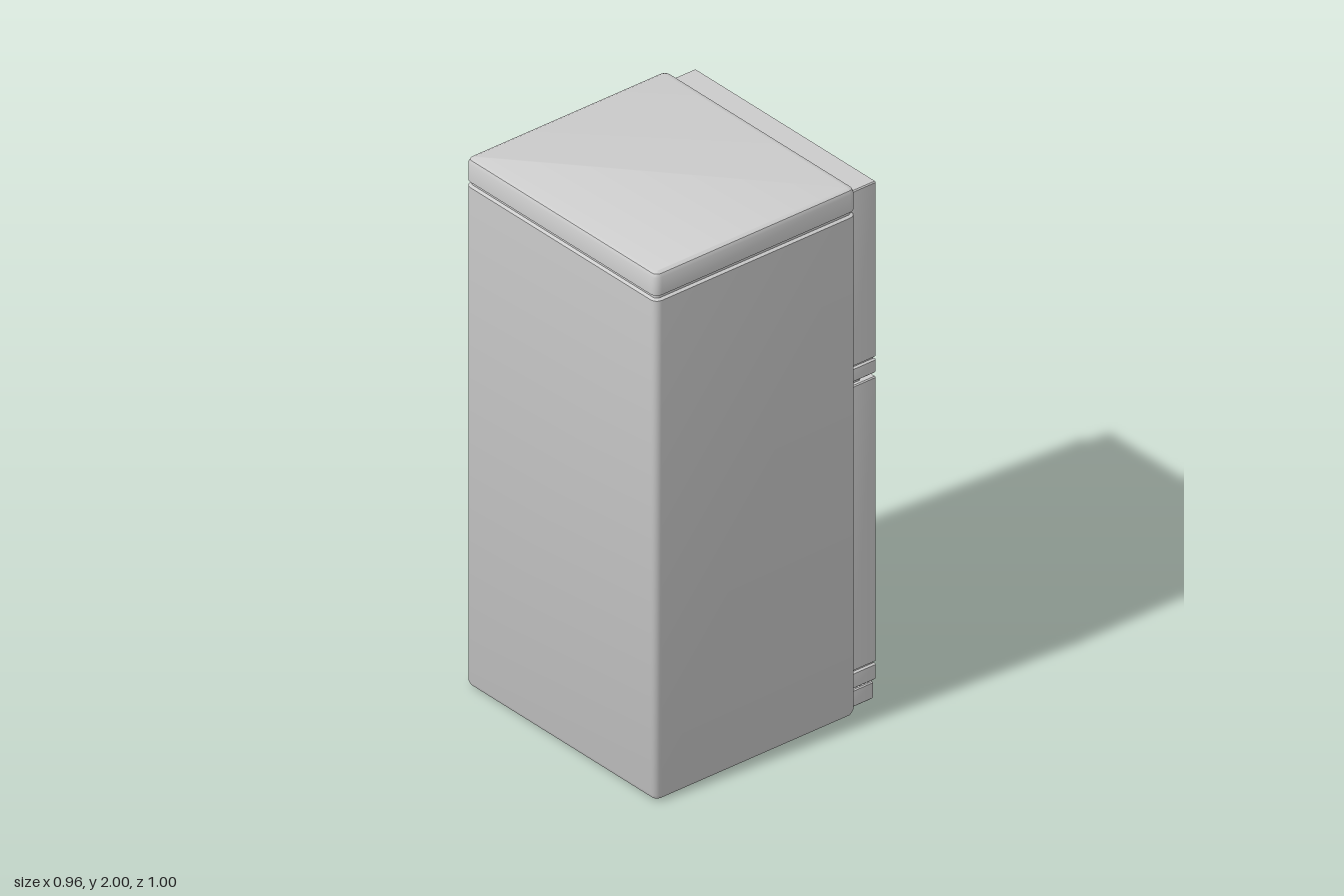
import * as THREE from 'three';
import { toCreasedNormals } from 'three/addons/utils/BufferGeometryUtils.js';

// Rounded-rectangle cross-section, counter-clockwise from above
function section(w, d, r, steps) {
  const pts = [];
  [[1, -1], [-1, -1], [-1, 1], [1, 1]].forEach(([sx, sz], q) => {
    for (let i = 0; i <= steps; i++) {
      const a = (q + i / steps) * Math.PI / 2;
      pts.push([sx * (w / 2 - r) + r * Math.cos(a), sz * (d / 2 - r) - r * Math.sin(a)]);
    }
  });
  return pts;
}

// Stack of cross-sections; each level is [height, inset]
function stacked(w, d, radius, steps, levels) {
  const pos = [], index = [];
  const n = 4 * (steps + 1);
  levels.forEach(([y, inset]) => {
    const r = Math.max(radius - inset, 0.001);
    section(w - 2 * inset, d - 2 * inset, r, steps).forEach(([x, z]) => pos.push(x, y, z));
  });
  for (let k = 0; k < levels.length - 1; k++) {
    for (let i = 0; i < n; i++) {
      const j = (i + 1) % n, a = k * n, b = a + n;
      index.push(a + i, a + j, b + j, a + i, b + j, b + i);
    }
  }
  const top = (levels.length - 1) * n;
  for (let i = 1; i < n - 1; i++) {
    index.push(0, i + 1, i, top, top + i, top + i + 1);
  }
  const g = new THREE.BufferGeometry();
  g.setAttribute('position', new THREE.Float32BufferAttribute(pos, 3));
  g.setIndex(index);
  return toCreasedNormals(g, 0.6);
}

export function createModel() {
  const model = new THREE.Group();
  model.name = 'refrigerator';
  const grey = new THREE.MeshStandardMaterial({ color: 0xcccccc });

  function add(parent, name, geometry, x, y, z) {
    const mesh = new THREE.Mesh(geometry, grey);
    mesh.name = name;
    mesh.position.set(x, y, z);
    parent.add(mesh);
  }

  // Cabinet with softened edges and a groove below the top cap
  add(model, 'cabinet', stacked(0.96, 0.847, 0.026, 4, [
    [0, 0.022], [0.007, 0.007], [0.022, 0],
    [1.895, 0], [1.9, 0.011], [1.911, 0.011], [1.916, 0],
    [1.982, 0], [1.994, 0.006], [2, 0.018],
  ]), 0, 0, 0.0755);

  // Doors on the -z side, each with a trim groove near its lower edge
  function door(name, y0, y1, groove) {
    const e = 0.004;
    add(model, name, stacked(0.91, 0.11, 0.006, 2, [
      [y0, e], [y0 + e, 0],
      [groove - 0.007, 0], [groove - 0.003, 0.008],
      [groove + 0.003, 0.008], [groove + 0.007, 0],
      [y1 - e, 0], [y1, e],
    ]), 0.004, 0, -0.394);
  }
  door('freezerDoor', 1.25, 1.975, 1.306);
  door('fridgeDoor', 0.088, 1.236, 0.152);

  // Recessed seal strips behind the gaps between the doors
  add(model, 'doorSeal', new THREE.BoxGeometry(0.88, 0.03, 0.06), 0.004, 1.243, -0.36);
  add(model, 'plinthSeal', new THREE.BoxGeometry(0.88, 0.03, 0.06), 0.004, 0.084, -0.36);

  // Kick plate under the lower door
  add(model, 'kickPlate', stacked(0.9, 0.104, 0.006, 2, [
    [0.015, 0.004], [0.019, 0], [0.076, 0], [0.08, 0.004],
  ]), 0.004, 0, -0.39);

  // Handles: mounting block with a thin bar reaching toward the door centre
  [['freezerHandle', 1.388], ['fridgeHandle', 1.094]].forEach(([name, y]) => {
    const handle = new THREE.Group();
    handle.name = name;
    add(handle, 'handleMount', new THREE.BoxGeometry(0.117, 0.076, 0.027), 0.3205, 0, -0.4715);
    add(handle, 'handleBar', new THREE.BoxGeometry(0.318, 0.038, 0.015), 0.191, 0, -0.4925);
    handle.position.y = y;
    model.add(handle);
  });

  return model;
}
